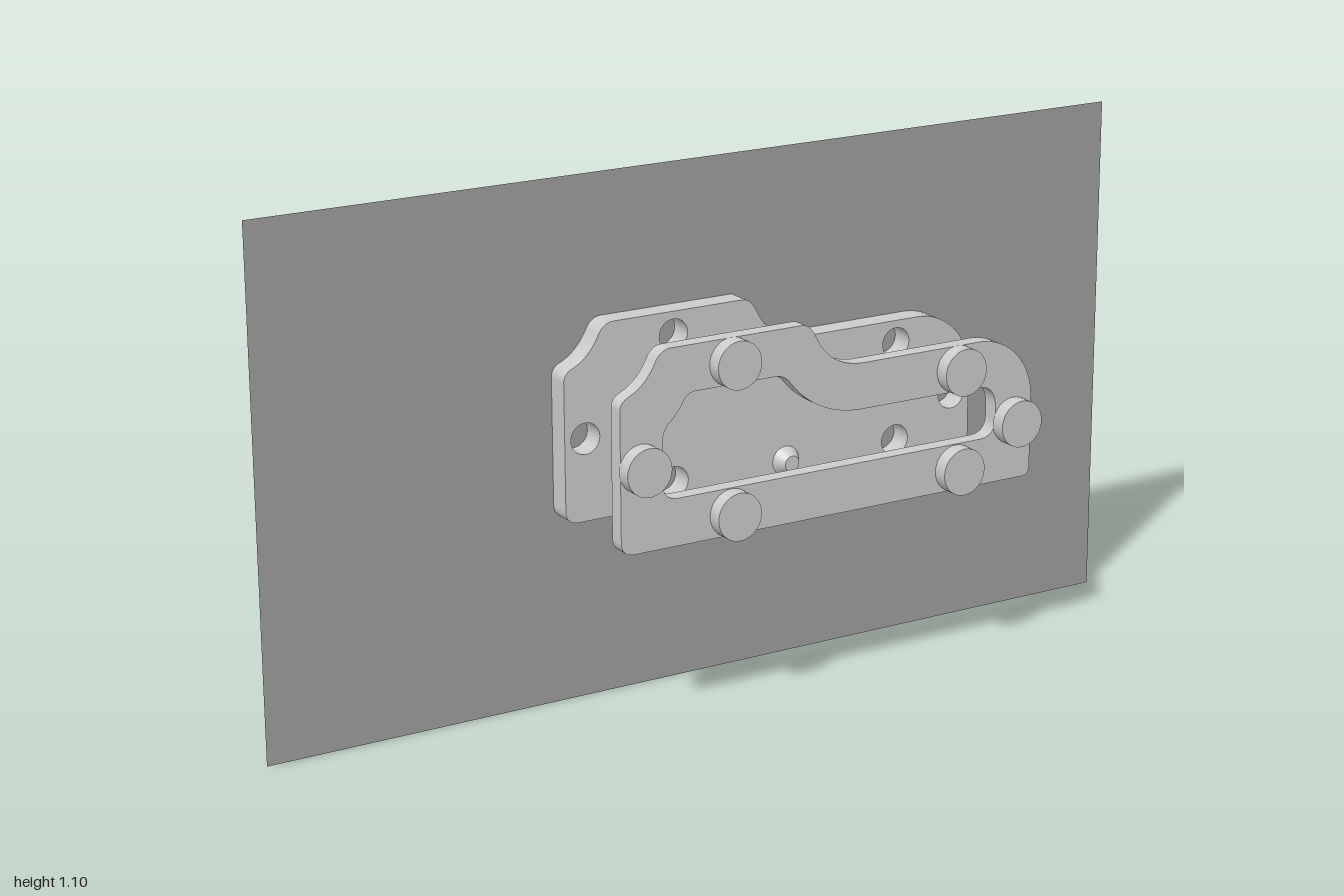
import * as THREE from 'three';

const grey = new THREE.MeshStandardMaterial({ color: 0xcccccc });

// Bolt positions, shared by the heads and the holes in the rear plate
const bolts = [
  [-0.308, 0.572], [-0.103, 0.757], [-0.103, 0.445],
  [0.437, 0.658], [0.437, 0.445], [0.58, 0.525],
];

// Outer outline: notched top left, stepped top, rounded right shoulder
function outerShape() {
  const s = new THREE.Shape();
  s.moveTo(-0.325, 0.398);
  s.lineTo(0.605, 0.398);
  s.quadraticCurveTo(0.625, 0.398, 0.625, 0.418);
  s.lineTo(0.625, 0.57);
  s.bezierCurveTo(0.625, 0.645, 0.565, 0.707, 0.49, 0.707);
  s.lineTo(0.21, 0.707);
  s.bezierCurveTo(0.15, 0.707, 0.115, 0.735, 0.095, 0.775);
  s.quadraticCurveTo(0.08, 0.806, 0.06, 0.806);
  s.lineTo(-0.24, 0.806);
  s.quadraticCurveTo(-0.262, 0.806, -0.274, 0.785);
  s.quadraticCurveTo(-0.297, 0.738, -0.335, 0.722);
  s.quadraticCurveTo(-0.355, 0.713, -0.355, 0.695);
  s.lineTo(-0.355, 0.428);
  s.quadraticCurveTo(-0.355, 0.398, -0.325, 0.398);
  return s;
}

// Window in the front frame, following the outer outline
function windowPath() {
  const p = new THREE.Path();
  p.moveTo(-0.225, 0.497);
  p.lineTo(0.495, 0.497);
  p.quadraticCurveTo(0.535, 0.497, 0.535, 0.535);
  p.lineTo(0.535, 0.56);
  p.quadraticCurveTo(0.535, 0.61, 0.485, 0.61);
  p.lineTo(0.2, 0.61);
  p.bezierCurveTo(0.13, 0.612, 0.075, 0.64, 0.035, 0.69);
  p.quadraticCurveTo(0.02, 0.71, 0, 0.71);
  p.lineTo(-0.185, 0.71);
  p.quadraticCurveTo(-0.203, 0.71, -0.213, 0.693);
  p.quadraticCurveTo(-0.225, 0.672, -0.244, 0.655);
  p.quadraticCurveTo(-0.26, 0.64, -0.26, 0.62);
  p.lineTo(-0.26, 0.532);
  p.quadraticCurveTo(-0.26, 0.497, -0.225, 0.497);
  return p;
}

function plate(name, holes, z, depth) {
  const shape = outerShape();
  shape.holes.push(...holes);
  const geometry = new THREE.ExtrudeGeometry(shape, { depth, bevelEnabled: false, curveSegments: 16 });
  const mesh = new THREE.Mesh(geometry, grey);
  mesh.position.z = z;
  mesh.name = name;
  return mesh;
}

// Round part pointing along z, from z0 (radius r0) to z1 (radius r1)
function roundPart(name, x, y, z0, z1, r0, r1) {
  const geometry = new THREE.CylinderGeometry(r1, r0, z1 - z0, 40).rotateX(Math.PI / 2);
  const mesh = new THREE.Mesh(geometry, grey);
  mesh.position.set(x, y, (z0 + z1) / 2);
  mesh.name = name;
  return mesh;
}

export function createModel() {
  const group = new THREE.Group();
  group.name = 'plateAssembly';

  // Thin backing sheet
  const sheet = new THREE.Mesh(
    new THREE.PlaneGeometry(2, 1.1),
    new THREE.MeshStandardMaterial({ color: 0x9e9e9e, side: THREE.DoubleSide }),
  );
  sheet.position.set(0, 0.55, -0.155);
  sheet.name = 'backingSheet';
  group.add(sheet);

  // Solid rear plate with bolt holes
  const boltHoles = bolts.map(([x, y]) => new THREE.Path().absarc(x, y, 0.033, 0, Math.PI * 2, true));
  group.add(plate('rearPlate', boltHoles, -0.153, 0.051));

  // Tapered locating pegs on the rear plate
  for (const y of [0.655, 0.445]) {
    group.add(roundPart('locatingPeg', 0.165, y, -0.102, -0.077, 0.032, 0.017));
  }

  // Open front frame with its bolt heads
  group.add(plate('frontFrame', [windowPath()], 0.087, 0.035));
  for (const [x, y] of bolts) {
    group.add(roundPart('boltHead', x, y, 0.122, 0.155, 0.05, 0.05));
  }
  return group;
}
